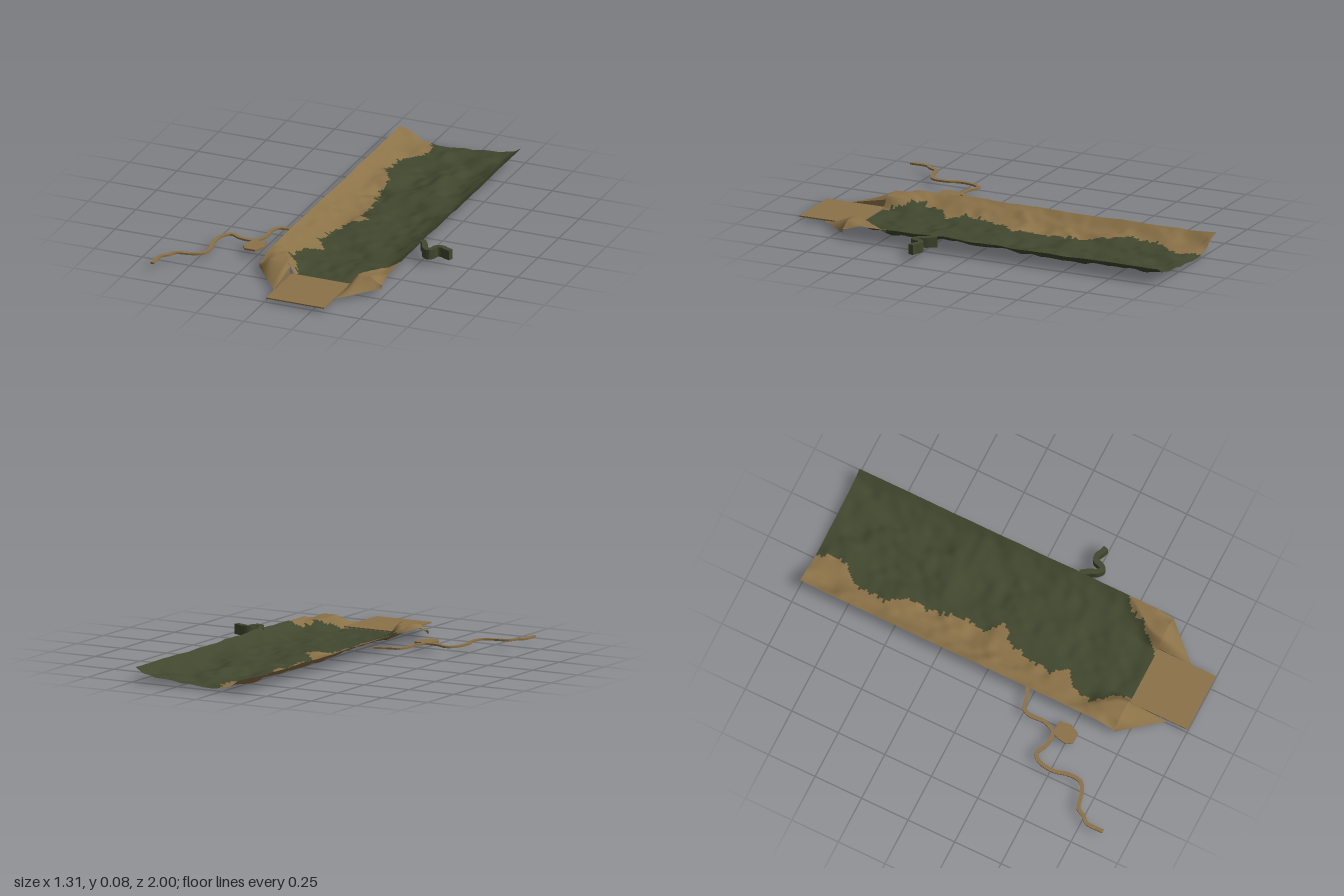
import * as THREE from 'three';

const tan = new THREE.MeshStandardMaterial({ color: 0x8b7248, side: THREE.DoubleSide });
tan.name = 'sandy earth';
const green = new THREE.MeshStandardMaterial({ color: 0x41472e, side: THREE.DoubleSide });
green.name = 'dark grass';

const LEFT = -0.16, RIGHT = 0.48, BACK = -1, FRONT = 0.69, MID = 0.16;
const { smoothstep, lerp, clamp } = THREE.MathUtils;

// Seeded lattice noise, -1..1
const hash = (i, j) => {
  const s = Math.sin(i * 127.1 + j * 311.7) * 43758.5453;
  return (s - Math.floor(s)) * 2 - 1;
};
function noise(x, z) {
  const i = Math.floor(x), j = Math.floor(z);
  const u = smoothstep(x - i, 0, 1), v = smoothstep(z - j, 0, 1);
  return lerp(lerp(hash(i, j), hash(i + 1, j), u), lerp(hash(i, j + 1), hash(i + 1, j + 1), u), v);
}

// Channel height: raised banks on both sides that widen into plateaus at the front
function height(x, z) {
  const edge = 0.32 - Math.abs(x - MID);
  const t = smoothstep(z, 0.42, 0.68);
  const onRight = x > MID;
  const shelf = (onRight ? 0.13 : 0.15) * t;
  const toe = onRight ? lerp(0.155, 0.17, t) : 0.185;
  const k = 1 - clamp((edge - shelf) / (toe - shelf), 0, 1);
  const bank = Math.pow(k, lerp(1.8, 1, t));
  const corner = 0.03 * smoothstep(z, 0.58, 0.69) * (1 - smoothstep(edge, 0, 0.06));
  const bumps = 0.015 * noise(x * 9 + 3, z * 8) + 0.007 * noise(x * 22, z * 20 + 7);
  const calm = (1 - smoothstep(z, 0.58, 0.69)) * lerp(0.4, 1, smoothstep(edge, 0, 0.06));
  return Math.max(0.002, 0.02 + 0.059 * bank - corner + bumps * calm);
}

// Linear lookup in a short list of [z, x] pairs
function lookup(points, z) {
  for (let i = 1; i < points.length; i++) {
    const [z0, x0] = points[i - 1], [z1, x1] = points[i];
    if (z <= z1) return lerp(x0, x1, clamp((z - z0) / (z1 - z0), 0, 1));
  }
  return points[points.length - 1][1];
}
const leftBorder = [[-1, 0.01], [-0.93, 0.04], [-0.86, 0.03], [-0.8, 0.0], [-0.75, -0.05], [-0.58, -0.055],
  [-0.52, 0.0], [-0.33, 0.01], [-0.2, 0.05], [-0.12, 0.01], [-0.07, 0.06], [-0.03, 0.11], [0.04, 0.02],
  [0.15, 0.0], [0.27, -0.03], [0.36, 0.03], [0.4, -0.04], [0.52, -0.08], [0.57, -0.04], [0.63, 0.0], [0.69, 0.04]];
const rightBorder = [[0.44, 0.49], [0.5, 0.42], [0.56, 0.4], [0.6, 0.36], [0.65, 0.31], [0.69, 0.29]];

// Smooth surface through rows of points; isSand(column, row) picks the colour group
function gridGeometry(nx, nz, point, isSand) {
  const pos = [], sandy = [], grassy = [];
  for (let j = 0; j <= nz; j++) for (let i = 0; i <= nx; i++) pos.push(...point(i / nx, j / nz));
  for (let j = 0; j < nz; j++) for (let i = 0; i < nx; i++) {
    const a = j * (nx + 1) + i, b = a + nx + 1;
    const list = isSand((i + 0.5) / nx, (j + 0.5) / nz) ? sandy : grassy;
    list.push(a, b, a + 1, b, b + 1, a + 1);
  }
  const g = new THREE.BufferGeometry();
  g.setAttribute('position', new THREE.Float32BufferAttribute(pos, 3));
  g.setIndex([...sandy, ...grassy]);
  g.addGroup(0, sandy.length, 0);
  g.addGroup(sandy.length, grassy.length, 1);
  g.computeVertexNormals();
  return g;
}

// Terrain strip, sandy along the left bank and the front right corner
function channelGeometry() {
  const at = (u, v) => [lerp(LEFT, RIGHT, u), lerp(BACK, FRONT, v)];
  return gridGeometry(64, 150, (u, v) => {
    const [x, z] = at(u, v);
    return [x, height(x, z), z];
  }, (u, v) => {
    const [x, z] = at(u, v);
    const jitter = 0.018 * noise(x * 30, z * 60);
    return x < lookup(leftBorder, z) + jitter || (z > 0.44 && x > lookup(rightBorder, z) + jitter);
  });
}

// Slope closing the front of a bank, from the rim down to a slanting foot line
function wingGeometry(outer, inner, tipZ) {
  const from = Math.min(outer, inner), to = Math.max(outer, inner);
  return gridGeometry(12, 8, (u, v) => {
    const x = lerp(from, to, u), s = (x - outer) / (inner - outer);
    const footY = lerp(0.03, 0.02, s), footZ = lerp(FRONT, tipZ, s);
    return [x, lerp(height(x, FRONT), footY, v), lerp(FRONT, footZ, v)];
  }, () => true);
}

// Upright triangle between a wing and the apron
function cheekGeometry(x, tipZ) {
  const g = new THREE.BufferGeometry();
  g.setAttribute('position', new THREE.Float32BufferAttribute(
    [x, height(x, FRONT), FRONT, x, 0.02, tipZ, x, 0.02, FRONT], 3));
  g.computeVertexNormals();
  return g;
}

// Extrudes a plan outline of [x, z] points between two heights
function slab(outline, y0, y1) {
  const shape = new THREE.Shape(outline.map(([x, z]) => new THREE.Vector2(x, -z)));
  const g = new THREE.ExtrudeGeometry(shape, { depth: y1 - y0, bevelEnabled: false });
  return g.rotateX(-Math.PI / 2).translate(0, y0, 0);
}

// Winding strip of constant width along a plan path
function strip(points, width, y0, y1, steps) {
  const curve = new THREE.CatmullRomCurve3(points.map(([x, z]) => new THREE.Vector3(x, 0, z)), false, 'centripetal');
  const a = [], b = [];
  for (let i = 0; i <= steps; i++) {
    const c = curve.getPoint(i / steps), t = curve.getTangent(i / steps);
    a.push([c.x - t.z * width / 2, c.z + t.x * width / 2]);
    b.unshift([c.x + t.z * width / 2, c.z - t.x * width / 2]);
  }
  return slab([...a, ...b], y0, y1);
}

export function createModel() {
  const model = new THREE.Group();
  const add = (name, geometry, material) => {
    const mesh = new THREE.Mesh(geometry, material);
    mesh.name = name;
    model.add(mesh);
    return mesh;
  };

  add('channel', channelGeometry(), [tan, green]);

  // Front ends of the two banks
  for (const [side, outer, inner, tipZ] of [['right', LEFT, 0, 0.89], ['left', RIGHT, 0.315, 0.865]]) {
    add(side + 'Wing', wingGeometry(outer, inner, tipZ), tan);
    add(side + 'Cheek', cheekGeometry(inner, tipZ), tan);
  }

  // Flat square apron at the mouth of the channel
  add('apron', new THREE.BoxGeometry(0.305, 0.006, 0.31), tan).position.set(0.16, 0.024, 0.845);

  // Long thin trail with a small clearing
  add('trail', strip([[-0.135, 0.212], [-0.19, 0.235], [-0.25, 0.25], [-0.27, 0.29], [-0.268, 0.37], [-0.3, 0.43],
    [-0.37, 0.43], [-0.43, 0.405], [-0.463, 0.44], [-0.475, 0.52], [-0.458, 0.59], [-0.465, 0.66], [-0.51, 0.69],
    [-0.59, 0.71], [-0.615, 0.75], [-0.642, 0.78], [-0.645, 0.87]], 0.019, 0.034, 0.043, 60), tan);
  add('clearing', slab([[-0.305, 0.43], [-0.235, 0.43], [-0.225, 0.49], [-0.25, 0.54], [-0.305, 0.54],
    [-0.325, 0.51], [-0.318, 0.47]], 0.034, 0.043), tan);

  // Short winding hedge on the other side
  add('hedge', strip([[0.478, 0.185], [0.505, 0.225], [0.52, 0.258], [0.545, 0.275], [0.56, 0.255], [0.568, 0.228],
    [0.595, 0.22], [0.62, 0.233], [0.648, 0.242]], 0.027, 0.03, 0.08, 36), green);

  return model;
}
